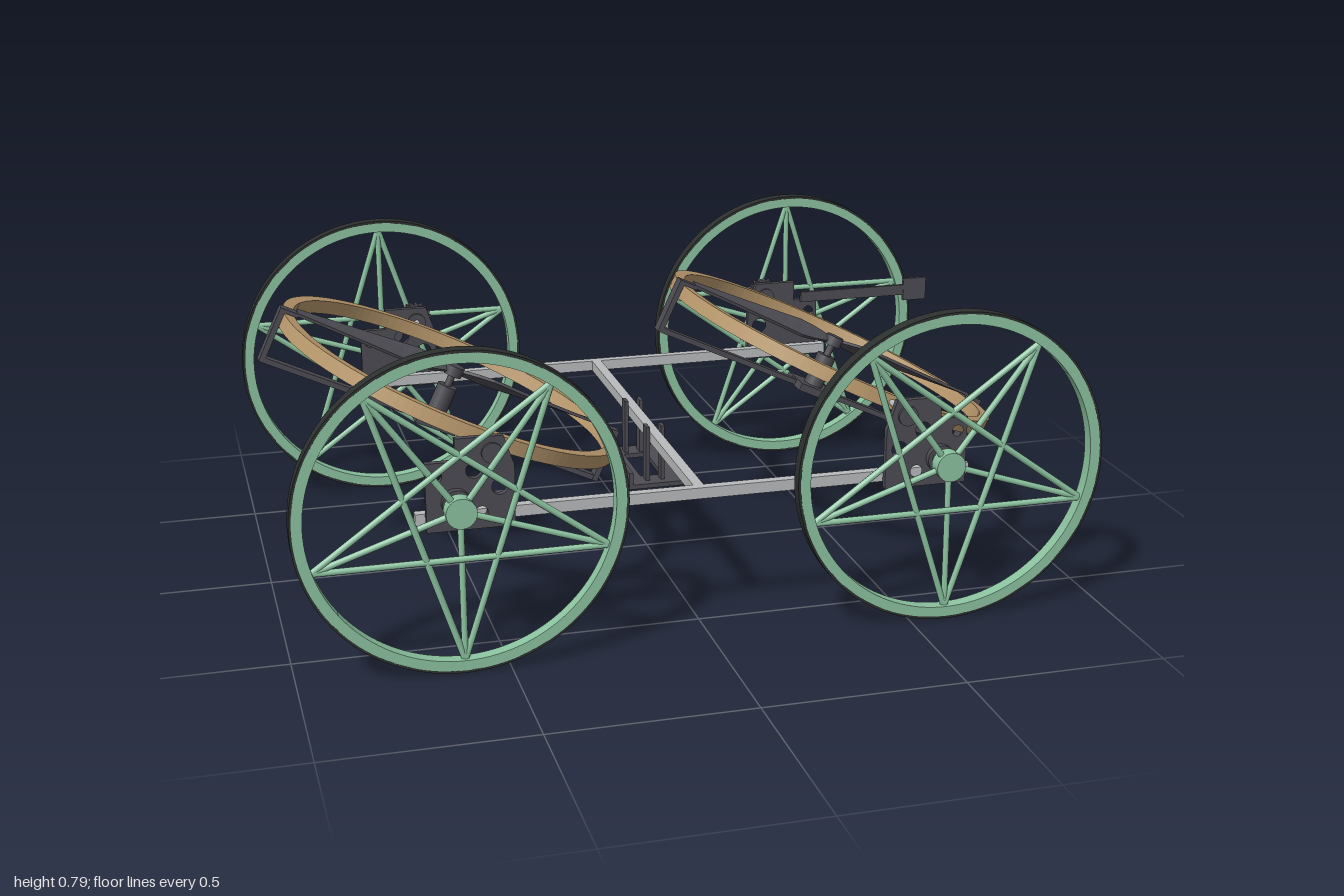
import * as THREE from 'three';

const mat = (name, color) => {
  const m = new THREE.MeshStandardMaterial({ color });
  m.name = name;
  return m;
};

export function createModel() {
  const green = mat('green wheel', 0x8cc3a0);
  const rubber = mat('black rubber', 0x2c302e);
  const tan = mat('tan ring', 0xb8986c);
  const steel = mat('light grey frame', 0xb9bbbc);
  const dark = mat('dark grey parts', 0x4c4c53);
  const model = new THREE.Group();
  model.name = 'fourWheeledVehicle';

  const add = (parent, name, geo, material, x = 0, y = 0, z = 0) => {
    const m = new THREE.Mesh(geo, material);
    m.name = name;
    m.position.set(x, y, z);
    parent.add(m);
    return m;
  };
  const box = (parent, name, material, w, h, d, x, y, z) =>
    add(parent, name, new THREE.BoxGeometry(w, h, d), material, x, y, z);
  const group = (name, x, y, z) => {
    const g = new THREE.Group();
    g.name = name;
    g.position.set(x, y, z);
    model.add(g);
    return g;
  };
  // cylinder running along z
  const axleGeo = (r, len, sides = 24) =>
    new THREE.CylinderGeometry(r, r, len, sides).rotateX(Math.PI / 2);
  // straight round rod between two points
  const rod = (parent, name, a, b, r, material) => {
    const dir = b.clone().sub(a);
    const m = add(parent, name, new THREE.CylinderGeometry(r, r, dir.length(), 8), material);
    m.position.copy(a).add(b).multiplyScalar(0.5);
    m.quaternion.setFromUnitVectors(new THREE.Vector3(0, 1, 0), dir.normalize());
  };
  // flat-sided ring in the xy plane, centred on z
  const ringGeo = (ro, ri, depth) => {
    const s = new THREE.Shape().absarc(0, 0, ro, 0, Math.PI * 2);
    s.holes.push(new THREE.Path().absarc(0, 0, ri, 0, Math.PI * 2, true));
    return new THREE.ExtrudeGeometry(s, { depth, bevelEnabled: false, curveSegments: 64 })
      .translate(0, 0, -depth / 2);
  };

  // wheels: tyre, rim, five-pointed star of rods and radial spokes
  const rimGeo = ringGeo(0.387, 0.362, 0.032);
  const tyreGeo = ringGeo(0.393, 0.386, 0.032);
  const makeWheel = (x, side) => {
    const w = group('wheel', x, 0.395, side * 0.636);
    add(w, 'rim', rimGeo, green);
    add(w, 'tyre', tyreGeo, rubber);
    add(w, 'hub', axleGeo(0.037, 0.036), green, 0, 0, -side * 0.01);
    add(w, 'axle', axleGeo(0.025, 0.05), dark, 0, 0, -side * 0.055);
    const tip = (i) => {
      const a = -side * Math.PI / 2 + i * Math.PI * 0.4;
      return new THREE.Vector3(Math.cos(a) * 0.366, Math.sin(a) * 0.366, 0);
    };
    for (let i = 0; i < 5; i++) {
      rod(w, 'starRod', tip(i), tip(i + 2), 0.008, green);
      rod(w, 'spoke', new THREE.Vector3(0, 0, -side * 0.01), tip(i), 0.008, green);
    }
  };

  // side plates with holes; the ring pivot lies inboard of the wheel axle
  const makePlate = (x, dir, side) => {
    const g = group('sidePlate', x, 0.395, side * 0.558);
    const pts = [[-0.07, -0.07], [0.14, -0.07], [0.14, 0.08], [0.115, 0.155],
      [0, 0.155], [0, 0.1], [-0.07, 0.1]].map(([a, b]) => new THREE.Vector2(a * dir, b));
    const s = new THREE.Shape(pts);
    for (const [a, b, r] of [[-0.045, 0.065, 0.014], [0.045, 0.075, 0.02],
      [0.105, 0.03, 0.02], [0.06, -0.03, 0.015]])
      s.holes.push(new THREE.Path().absarc(a * dir, b, r, 0, Math.PI * 2, true));
    add(g, 'plate', new THREE.ExtrudeGeometry(s, { depth: 0.016, bevelEnabled: false })
      .translate(0, 0, -0.008), dark);
    add(g, 'bearing', axleGeo(0.035, 0.024), dark, 0, 0, side * 0.012);
    add(g, 'pivotBoss', axleGeo(0.025, 0.03), dark, 0.087 * dir, 0.115, 0);
    add(g, 'pivotShaft', axleGeo(0.008, 0.11, 12), steel, 0.087 * dir, 0.115, -side * 0.052);
    if (side < 0) {
      // toothed drive gears on the back side
      const teeth = 20;
      for (const [gx, gy, r] of [[0.087, 0.115, 0.048], [0.03, 0.075, 0.024]]) {
        const gear = new THREE.Shape();
        for (let i = 0; i < teeth * 2; i++) {
          const a = i * Math.PI / teeth, q = i % 2 ? r : r * 0.86;
          gear[i ? 'lineTo' : 'moveTo'](Math.cos(a) * q, Math.sin(a) * q);
        }
        add(g, 'gear', new THREE.ExtrudeGeometry(gear, { depth: 0.016, bevelEnabled: false }),
          dark, gx * dir, gy, -0.034);
      }
    }
  };

  // tapered propeller blade along +x, twisted along its length
  const bladeGeo = () => {
    const geo = new THREE.BoxGeometry(0.41, 0.008, 1, 10, 1, 1).translate(0.225, 0, 0).toNonIndexed();
    const p = geo.attributes.position;
    for (let i = 0; i < p.count; i++) {
      const x = p.getX(i), y = p.getY(i);
      const half = x < 0.09 ? 0.012 + (x - 0.02) * 0.3 : 0.033 - (x - 0.09) * 0.05;
      const z = Math.sign(p.getZ(i)) * half;
      const a = 0.6 - x * 1.1;
      p.setXYZ(i, x, y * Math.cos(a) + z * Math.sin(a), z * Math.cos(a) - y * Math.sin(a));
    }
    geo.computeVertexNormals();
    return geo;
  };

  // tilting ring with its rotor and the bracket that carries the motor
  const hoopGeo = ringGeo(0.46, 0.432, 0.036).rotateX(Math.PI / 2);
  const makeRotor = (x) => {
    const g = group('tiltingRotor', x, 0.51, 0);
    g.rotation.z = -25 * Math.PI / 180;
    add(g, 'ring', hoopGeo, tan);
    box(g, 'bracketBar', dark, 0.92, 0.014, 0.028, 0, -0.112, 0);
    for (const s of [-1, 1]) {
      box(g, 'bracketPost', dark, 0.014, 0.14, 0.034, s * 0.467, -0.048, 0);
      box(g, 'bracketClip', dark, 0.05, 0.01, 0.034, s * 0.449, 0.024, 0);
    }
    box(g, 'motorPlate', dark, 0.11, 0.02, 0.11, 0, -0.112, 0);
    add(g, 'motor', new THREE.CylinderGeometry(0.026, 0.026, 0.09, 20), dark, 0, -0.06, 0);
    add(g, 'rotorShaft', new THREE.CylinderGeometry(0.01, 0.01, 0.08, 12), dark, 0, 0, 0);
    add(g, 'rotorHub', new THREE.CylinderGeometry(0.024, 0.024, 0.026, 20), dark, 0, 0.028, 0);
    for (const a of [0, Math.PI])
      add(g, 'blade', bladeGeo(), dark, 0, 0.028, 0).rotation.y = a;
  };

  for (const side of [-1, 1]) {
    for (const dir of [1, -1]) {
      const x = dir > 0 ? -0.607 : 0.592;
      makeWheel(x, side);
      makePlate(x, dir, side);
    }
    box(model, 'sideRail', steel, 1.38, 0.028, 0.024, -0.01, 0.351, side * 0.532);
  }
  makeRotor(-0.52);
  makeRotor(0.505);
  box(model, 'crossBeam', steel, 0.026, 0.028, 1.04, -0.01, 0.351, 0);

  // hanging tray under the cross beam: open floor frame, lips and hangers
  const tray = group('tray', -0.01, 0.228, 0);
  for (const s of [-1, 1]) {
    box(tray, 'traySide', dark, 0.045, 0.012, 0.296, s * 0.0525, 0, 0);
    box(tray, 'trayLip', dark, 0.01, 0.042, 0.296, s * 0.07, 0.018, 0);
    box(tray, 'trayEnd', dark, 0.07, 0.012, 0.062, 0, 0, s * 0.117);
    for (const t of [-1, 1])
      box(tray, 'hanger', dark, 0.01, 0.155, 0.03, s * 0.02, 0.075, t * 0.11);
  }

  // thin arm reaching out at the back left, with an end plate
  box(model, 'sensorArm', dark, 0.34, 0.03, 0.01, 0.78, 0.505, -0.543);
  box(model, 'sensorPlate', dark, 0.07, 0.066, 0.012, 0.965, 0.506, -0.543);

  return model;
}
